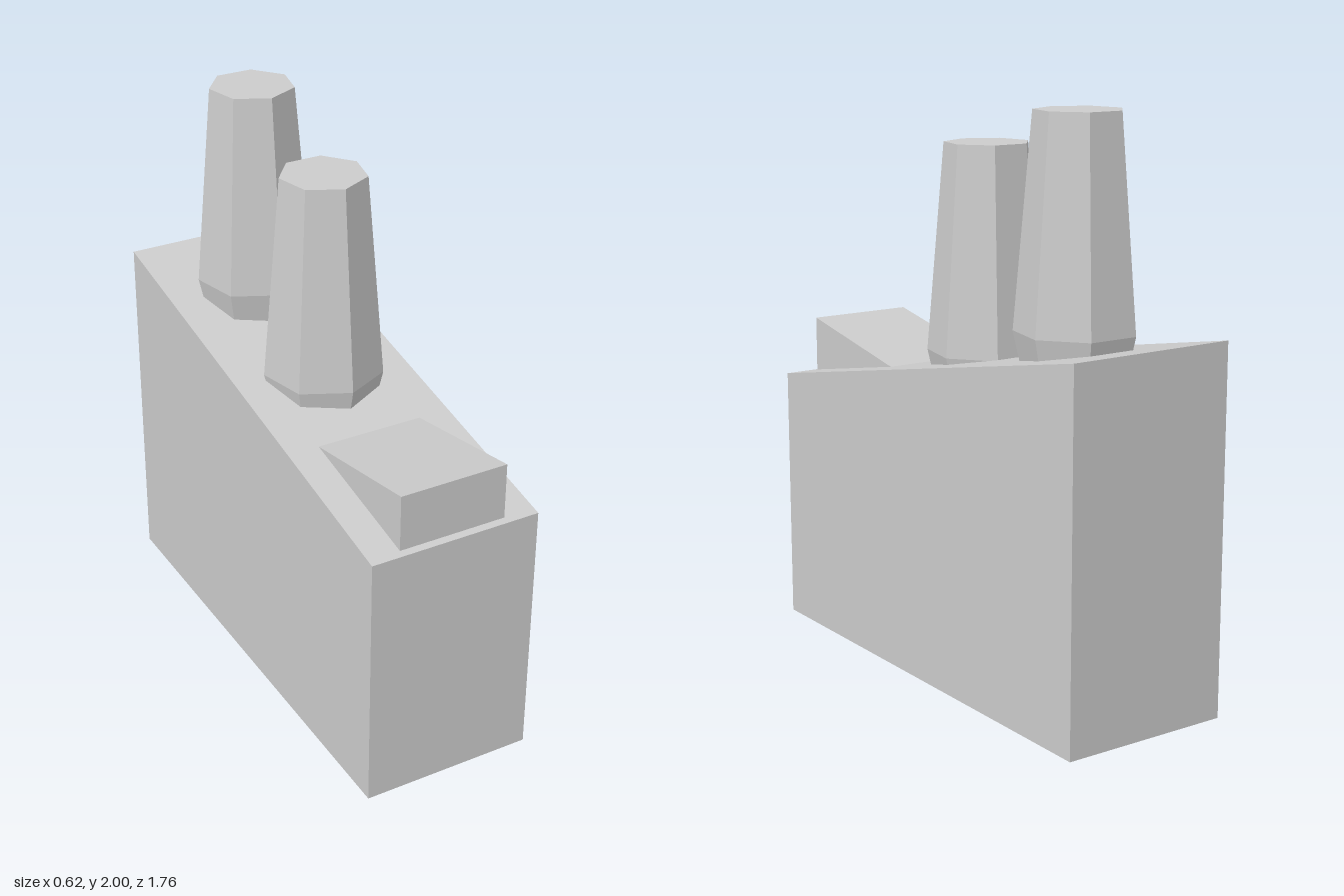
import * as THREE from 'three';

const material = new THREE.MeshStandardMaterial({ color: 0xcccccc, flatShading: true });

// Side profile given as [z, y] points, extruded across x and centred on it
function sideExtrusion(name, points, width) {
  const shape = new THREE.Shape(points.map(([z, y]) => new THREE.Vector2(-z, y)));
  const geometry = new THREE.ExtrudeGeometry(shape, { depth: width, bevelEnabled: false });
  geometry.translate(0, 0, -width / 2).rotateY(Math.PI / 2);
  const mesh = new THREE.Mesh(geometry, material);
  mesh.name = name;
  return mesh;
}

// Seven-sided tapered stack with a narrowing foot sunk into the sloping top
function stack(name, z, shoulderY, topY) {
  const profile = [[0, shoulderY - 0.25], [0.155, shoulderY - 0.25], [0.21, shoulderY], [0.15, topY], [0, topY]];
  const geometry = new THREE.LatheGeometry(profile.map(([r, y]) => new THREE.Vector2(r, y)), 7);
  const mesh = new THREE.Mesh(geometry, material);
  mesh.name = name;
  mesh.position.z = z;
  return mesh;
}

export function createModel() {
  const group = new THREE.Group();
  group.name = 'model';

  // Tall block whose top rises towards the back
  group.add(sideExtrusion('body', [[0.88, 0], [-0.88, 0], [-0.88, 1.28], [0.88, 0.94]], 0.62));

  // Raised wedge at the front of the top
  group.add(sideExtrusion('frontWedge', [[0.855, 0.9], [0.33, 0.98], [0.33, 1.046], [0.855, 1.145]], 0.39));

  group.add(stack('frontStack', 0.008, 1.14, 1.86));
  group.add(stack('rearStack', -0.497, 1.285, 2));
  return group;
}
